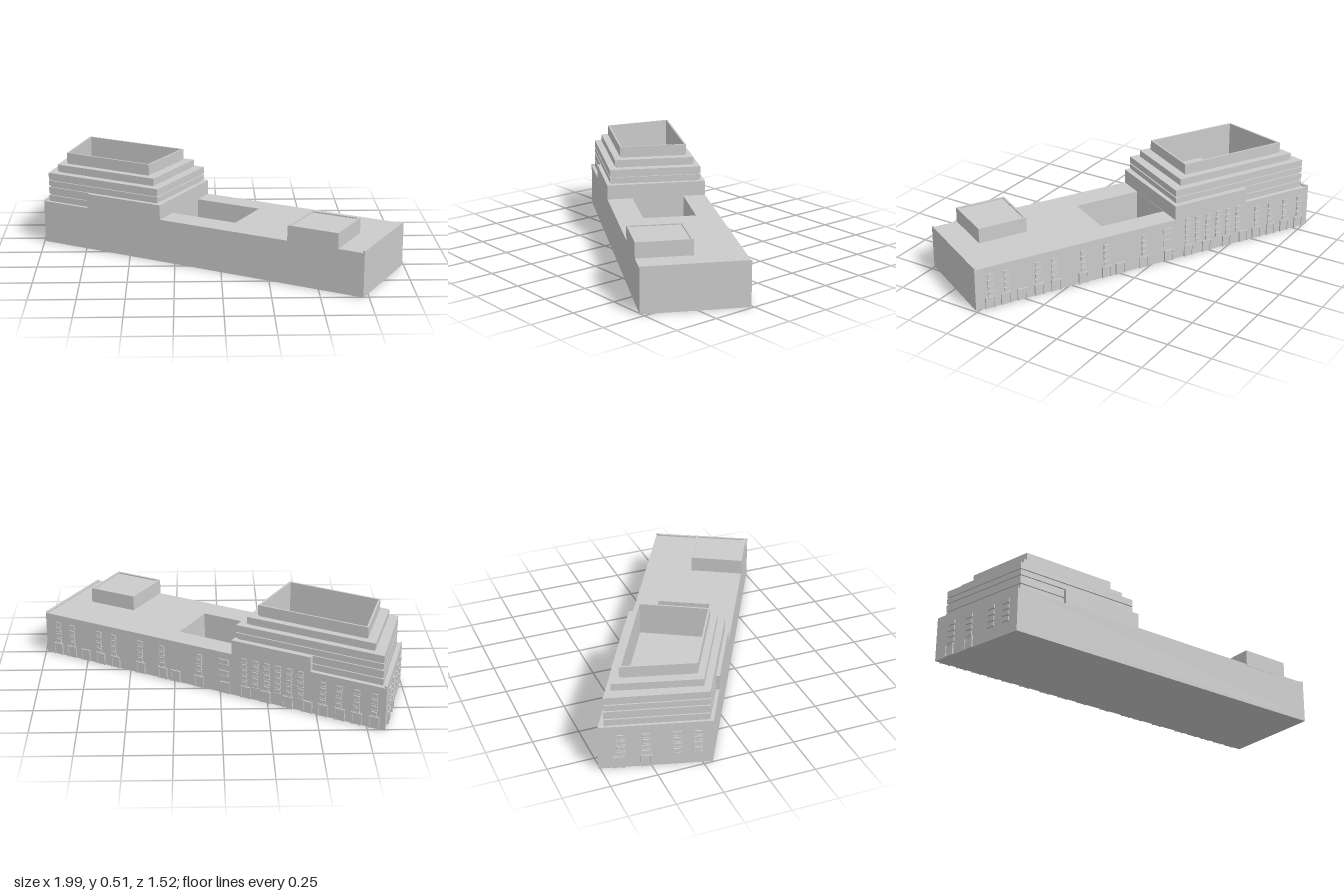
import * as THREE from 'three';

const material = new THREE.MeshStandardMaterial({ color: 0xcccccc, flatShading: true });

// Footprints are [x, z] corners: front left, front right, back right, back left
const FOOT = [[-0.995, -0.2], [0.72, 0.757], [0.992, 0.262], [-0.84, -0.76]];
const COURT = [[-0.26, 0.045], [0.08, 0.233], [0.222, -0.022], [-0.118, -0.213]];
const ANNEX = [[-0.74, -0.058], [-0.33, 0.171], [-0.058, -0.325], [-0.465, -0.551]];
const TIER1 = [[-0.965, -0.205], [-0.343, 0.143], [-0.083, -0.311], [-0.825, -0.72]];
const TIER2 = [[-0.913, -0.218], [-0.363, 0.09], [-0.14, -0.306], [-0.785, -0.664]];
const TIER3 = [[-0.86, -0.23], [-0.39, 0.034], [-0.2, -0.3], [-0.752, -0.608]];
const PENTHOUSE = [[0.34, 0.547], [0.592, 0.686], [0.736, 0.423], [0.488, 0.288]];

// Moves every edge of a footprint inward by d
function inset(poly, d) {
  const edges = poly.map((p, i) => {
    const q = poly[(i + 1) % poly.length];
    const dx = q[0] - p[0], dz = q[1] - p[1], l = Math.hypot(dx, dz);
    return { x: p[0] + dz / l * d, z: p[1] - dx / l * d, dx, dz };
  });
  return edges.map((b, i) => {
    const a = edges[(i + edges.length - 1) % edges.length];
    const t = ((b.x - a.x) * b.dz - (b.z - a.z) * b.dx) / (a.dx * b.dz - a.dz * b.dx);
    return [a.x + a.dx * t, a.z + a.dz * t];
  });
}

const mix = (p, q, t) => [p[0] + (q[0] - p[0]) * t, p[1] + (q[1] - p[1]) * t];

// Upright prism over a footprint, optionally with a hole
function prism(parent, name, poly, y0, y1, hole) {
  const toPoints = (list) => list.map(([x, z]) => new THREE.Vector2(x, -z));
  const shape = new THREE.Shape(toPoints(poly));
  if (hole) shape.holes.push(new THREE.Path(toPoints(hole)));
  const geometry = new THREE.ExtrudeGeometry(shape, { depth: y1 - y0, bevelEnabled: false });
  geometry.rotateX(-Math.PI / 2);
  const mesh = new THREE.Mesh(geometry, material);
  mesh.name = name;
  mesh.position.y = y0;
  parent.add(mesh);
}

// Group whose local x runs along a wall from p to q, with local z pointing outward
function wallGroup(parent, name, p, q) {
  const group = new THREE.Group();
  group.name = name;
  group.position.set(p[0], 0, p[1]);
  group.rotation.y = -Math.atan2(q[1] - p[1], q[0] - p[0]);
  parent.add(group);
  return group;
}

function panel(parent, name, x, y, w, h, depth) {
  const mesh = new THREE.Mesh(new THREE.BoxGeometry(w, h, depth), material);
  mesh.name = name;
  mesh.position.set(x, y, 0);
  parent.add(mesh);
}

function windowColumn(wall, x, rows, w = 0.03, h = 0.022) {
  for (const y of rows) {
    panel(wall, 'window', x, y, w, h, 0.014);
    panel(wall, 'windowSill', x, y - h / 2, w + 0.006, 0.004, 0.02);
  }
}

// Door made of two jambs, a lintel and a leaf
function door(wall, x, w = 0.058, h = 0.066) {
  panel(wall, 'doorLeaf', x, h / 2, w - 0.008, h, 0.008);
  for (const s of [-1, 1]) panel(wall, 'doorJamb', x + s * (w / 2 - 0.004), h / 2, 0.008, h, 0.018);
  panel(wall, 'doorLintel', x, h - 0.003, w, 0.008, 0.018);
}

export function createModel() {
  const model = new THREE.Group();
  model.name = 'building';

  // Main block with an open courtyard
  prism(model, 'base', FOOT, 0, 0.02);
  prism(model, 'mainBlock', FOOT, 0.02, 0.24, COURT);
  const inner = inset(FOOT, 0.015);
  prism(model, 'endParapet', [inner[1], FOOT[1], FOOT[2], inner[2]], 0.24, 0.248);
  prism(model, 'endParapet', [FOOT[0], inner[0], inner[3], FOOT[3]], 0.24, 0.248);

  // Rooftop box with a low rim
  prism(model, 'rooftopBox', PENTHOUSE, 0.23, 0.318);
  prism(model, 'rooftopBoxRim', PENTHOUSE, 0.318, 0.325, inset(PENTHOUSE, 0.012));

  // Raised storey beside the courtyard
  const well = inset(TIER3, 0.01);
  prism(model, 'raisedStorey', ANNEX, 0.24, 0.322, inset(ANNEX, 0.06));

  // Stepped tower: bands with thin recessed strips, open in the middle
  const tower = new THREE.Group();
  tower.name = 'steppedTower';
  model.add(tower);
  const bands = [
    [TIER1, 0.24, 0.275, 0], [TIER1, 0.275, 0.283, 0.008], [TIER1, 0.283, 0.322, 0],
    [TIER1, 0.322, 0.332, 0.008], [TIER1, 0.332, 0.36, 0], [TIER1, 0.36, 0.367, 0.008],
    [TIER1, 0.367, 0.405, 0], [TIER2, 0.405, 0.412, 0.008], [TIER2, 0.412, 0.45, 0],
    [TIER3, 0.45, 0.457, 0.006], [TIER3, 0.457, 0.515, 0],
  ];
  for (const [poly, y0, y1, d] of bands) prism(tower, d ? 'recessedStrip' : 'towerBand', inset(poly, d), y0, y1, well);

  // Floor of the tower well, in two levels
  const midFront = mix(well[0], well[1], 0.38), midBack = mix(well[3], well[2], 0.46);
  prism(tower, 'wellFloor', [well[0], midFront, midBack, well[3]], 0.24, 0.3);
  prism(tower, 'wellFloor', [midFront, well[1], well[2], midBack], 0.24, 0.34);

  // Rear facade: columns of windows and a row of doors, placed by z
  const rear = wallGroup(model, 'rearFacade', FOOT[3], FOOT[2]);
  const alongRear = (z) => (z - FOOT[3][1]) * Math.hypot(1, 1.832 / 1.022);
  const rows = [0.186, 0.152, 0.117, 0.084];
  for (const z of [0.22, 0.175, 0.087, 0.04, -0.045, -0.113, -0.228, -0.588, -0.633, -0.682, -0.73])
    windowColumn(rear, alongRear(z), rows);
  for (let i = 0; i < 6; i++) windowColumn(rear, alongRear(-0.363 - i * 0.0325), [0.22, ...rows]);
  windowColumn(rear, alongRear(-0.302), [0.186, 0.12], 0.058, 0.028);
  for (const z of [0.222, 0.178, 0.132, 0.083, 0.035, -0.045, -0.115, -0.155, -0.228, -0.305,
    -0.367, -0.425, -0.49, -0.545, -0.588, -0.636, -0.682, -0.73]) door(rear, alongRear(z));

  // Slanted end facade
  const end = wallGroup(model, 'endFacade', FOOT[0], FOOT[3]);
  const endLength = Math.hypot(FOOT[3][0] - FOOT[0][0], FOOT[3][1] - FOOT[0][1]);
  for (const t of [0.13, 0.31, 0.58, 0.8]) windowColumn(end, endLength * t, rows, 0.04);
  for (const t of [0.58, 0.82]) door(end, endLength * t);

  return model;
}
